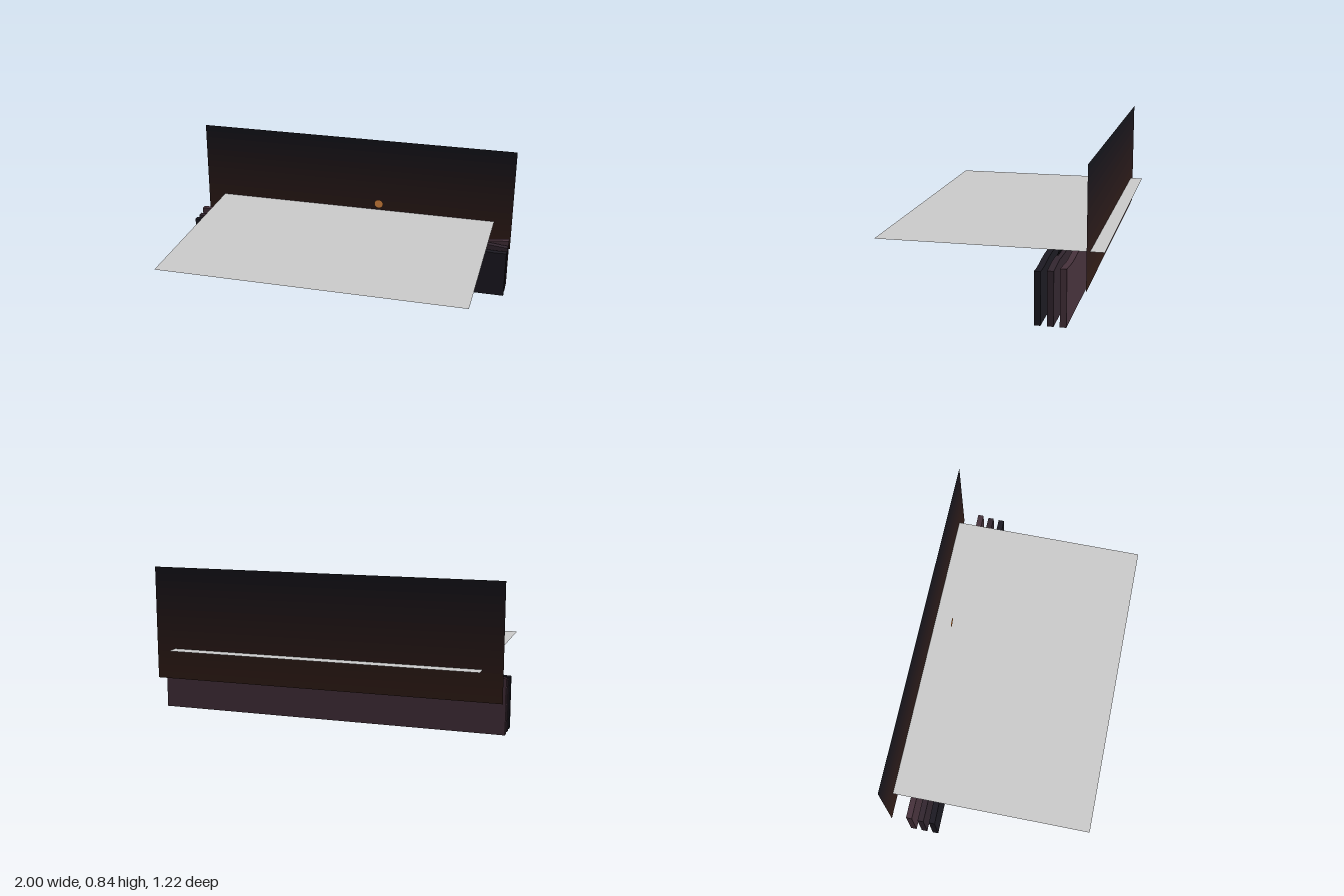
import * as THREE from 'three';

let seed = 11;
const rand = () => (seed = (seed * 16807) % 2147483647) / 2147483647;

const material = (color, side = THREE.FrontSide) =>
  new THREE.MeshStandardMaterial({ color, side });

function add(parent, name, geometry, mat, x = 0, y = 0, z = 0) {
  const mesh = new THREE.Mesh(geometry, mat);
  mesh.name = name;
  mesh.position.set(x, y, z);
  parent.add(mesh);
  return mesh;
}

// Upright slab with a gently rolling top edge
function ridgeGeometry(height, depth) {
  const shape = new THREE.Shape();
  shape.moveTo(-1, 0);
  shape.lineTo(1, 0);
  for (let i = 0; i <= 80; i++) {
    const x = 1 - i / 40;
    shape.lineTo(x, height(x));
  }
  return new THREE.ExtrudeGeometry(shape, { depth, bevelEnabled: false });
}

export function createModel() {
  const model = new THREE.Group();
  model.name = 'duskLandscape';

  // Backdrop: thin bands fading from night to ember
  const sky = new THREE.Group();
  sky.name = 'sky';
  model.add(sky);
  const bands = 16, bottom = 0.195, top = 0.84, step = (top - bottom) / bands;
  const ember = new THREE.Color(0x321d17), night = new THREE.Color(0x15141b);
  for (let i = 0; i < bands; i++) {
    const color = ember.clone().lerp(night, i / (bands - 1));
    add(sky, 'skyBand', new THREE.PlaneGeometry(2, step),
      material(color, THREE.DoubleSide), 0, bottom + step * (i + 0.5), -0.535);
  }

  // Low sun disc
  add(model, 'sun', new THREE.CircleGeometry(0.028, 24),
    material(0xe89044, THREE.DoubleSide), 0.177, 0.461, -0.42);

  // Wide flat sheet crossing the scene
  const sheet = add(model, 'sheet', new THREE.PlaneGeometry(1.78, 1.22),
    material(0xcccccc, THREE.DoubleSide), 0, 0.371, 0);
  sheet.rotation.x = -Math.PI / 2;

  // Three hill layers, near to far
  const hills = [
    { name: 'nearHill', z: -0.305, base: 0.294, color: 0x1c1a22, phase: 2.25 },
    { name: 'middleHill', z: -0.372, base: 0.295, color: 0x32262f, phase: 0.6 },
    { name: 'farHill', z: -0.438, base: 0.301, color: 0x47323c, phase: 4.2 },
  ];
  for (const h of hills) {
    h.height = x => h.base + 0.008 * Math.sin(x * 9 + h.phase) + 0.002 * Math.sin(x * 23 + h.phase);
    add(model, h.name, ridgeGeometry(h.height, 0.034), material(h.color), 0, 0, h.z);
  }

  // Slim conifers in clumps along the middle hill
  const trees = new THREE.Group();
  trees.name = 'trees';
  model.add(trees);
  const treeMat = material(0x121117);
  treeMat.flatShading = true;
  for (const [from, to, count] of [[-0.57, -0.02, 26], [0.07, 0.42, 16], [0.5, 0.76, 9]]) {
    for (let i = 0; i < count; i++) {
      const x = from + (to - from) * (i + rand() * 0.7) / count;
      const size = 0.022 + 0.022 * rand();
      add(trees, 'tree', new THREE.ConeGeometry(0.006 + size * 0.1, size, 5),
        treeMat, x, 0.286 + size / 2, -0.345);
    }
  }

  // Small flat birds in two flocks just under the sheet
  const birds = new THREE.Group();
  birds.name = 'birds';
  model.add(birds);
  const wing = new THREE.BufferGeometry();
  wing.setAttribute('position', new THREE.Float32BufferAttribute(
    [0, 0, 0.006, 0.013, 0.004, -0.003, 0, 0, -0.006], 3));
  wing.computeVertexNormals();
  const birdMat = material(0x121117, THREE.DoubleSide);
  for (const [cx, count] of [[-0.23, 9], [0.19, 8]]) {
    for (let i = 0; i < count; i++) {
      const bird = new THREE.Group();
      bird.name = 'bird';
      bird.position.set(cx + (rand() - 0.5) * 0.17, 0.358 + 0.006 * rand(),
        -0.1 - 0.125 * (i + rand()) / count);
      add(bird, 'leftWing', wing, birdMat);
      add(bird, 'rightWing', wing, birdMat).scale.x = -1;
      birds.add(bird);
    }
  }

  return model;
}
